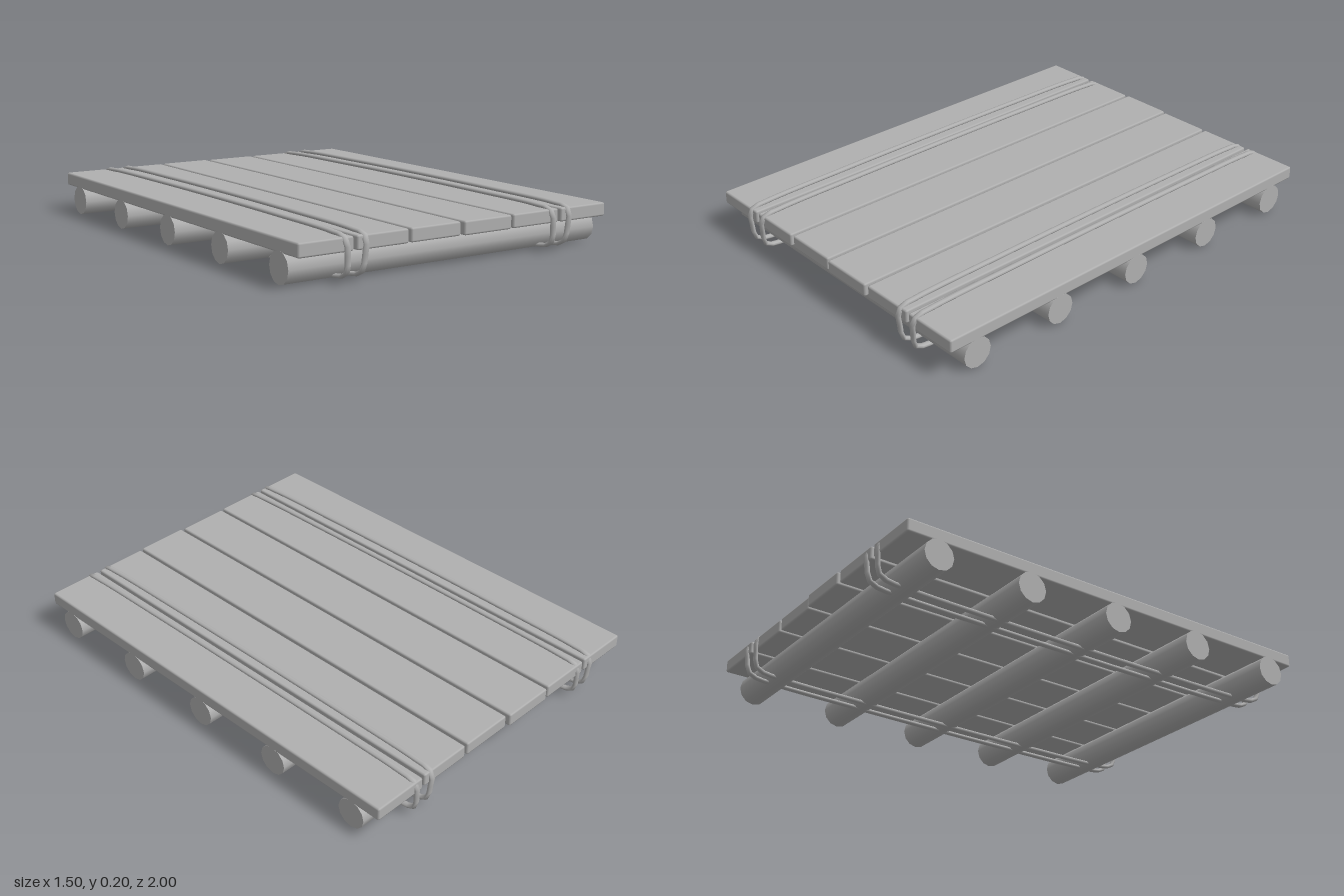
import * as THREE from 'three';
import { RoundedBoxGeometry } from 'three/addons/geometries/RoundedBoxGeometry.js';

export function createModel() {
  const model = new THREE.Group();
  model.name = 'raft';
  const grey = new THREE.MeshStandardMaterial({ color: 0xb0b0b0 });
  grey.name = 'plain grey';

  const add = (name, geometry, x, y, z) => {
    const mesh = new THREE.Mesh(geometry, grey);
    mesh.name = name;
    mesh.position.set(x, y, z);
    model.add(mesh);
    return mesh;
  };

  // Deck planks: [left edge, right edge, back end, front end]
  const planks = [
    [-0.75, -0.508, -0.99, 0.983],
    [-0.494, -0.258, -0.992, 0.983],
    [-0.245, -0.008, -0.996, 0.98],
    [0.005, 0.242, -0.986, 0.987],
    [0.255, 0.492, -0.986, 0.982],
    [0.506, 0.75, -0.99, 0.983],
  ];
  for (const [x0, x1, z0, z1] of planks) {
    add('deckPlank', new RoundedBoxGeometry(x1 - x0, 0.057, z1 - z0, 1, 0.008),
      (x0 + x1) / 2, 0.1475, (z0 + z1) / 2);
  }

  // Round logs running across beneath the deck
  const log = new THREE.CylinderGeometry(0.065, 0.065, 1.5, 12).rotateZ(Math.PI / 2);
  for (const z of [-0.85, -0.425, 0.003, 0.43, 0.855]) add('log', log, 0, 0.065, z);

  // Rope loops, bowed slightly outwards above and below, flattened in section
  const half = [
    [0, 0.191], [0.5, 0.189], [0.9, 0.183], [0.975, 0.174], [0.991, 0.15],
    [0.988, 0.1], [0.98, 0.045], [0.95, 0.025], [0.85, 0.016], [0.5, 0.011], [0, 0.009],
  ];
  const mirrored = half.slice(1, -1).reverse().map(([z, y]) => [-z, y]);
  const path = new THREE.CatmullRomCurve3(
    [...half, ...mirrored].map(([z, y]) => new THREE.Vector3((y - 0.1) * 0.05, y, z)),
    true, 'centripetal');
  const rope = new THREE.TubeGeometry(path, 120, 0.009, 8, true).scale(1.5, 1, 1);
  for (const x of [-0.541, -0.463, 0.459, 0.538]) {
    const loop = add('ropeLoop', rope, x, 0, 0);
    if (x < -0.5 || (x > 0 && x < 0.5)) loop.rotation.y = Math.PI;
  }

  return model;
}
